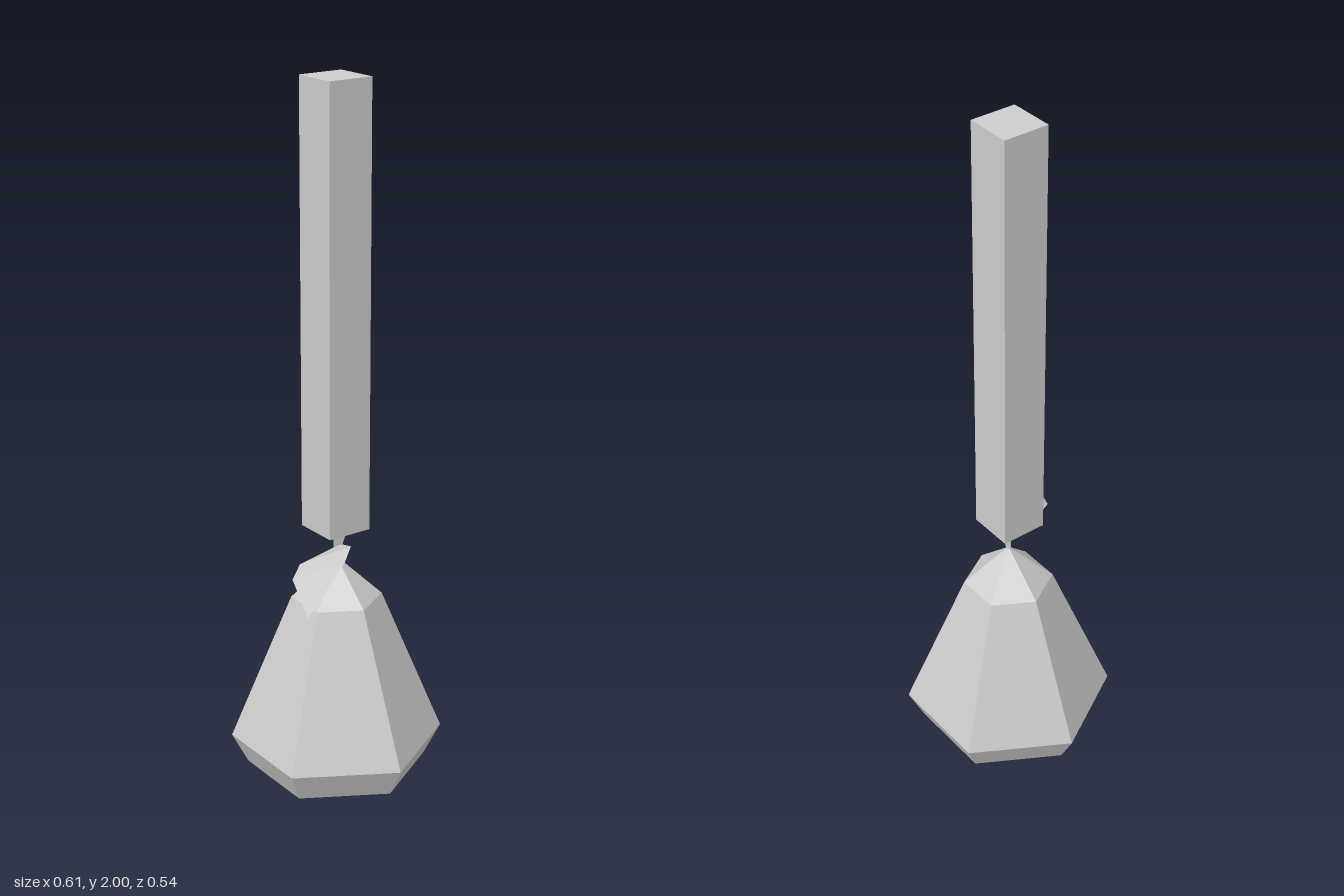
import * as THREE from 'three';

export function createModel() {
  const model = new THREE.Group();
  const grey = new THREE.MeshStandardMaterial({ color: 0xcccccc, flatShading: true, side: THREE.DoubleSide });
  grey.name = 'light grey';

  function add(name, geometry, x = 0, y = 0, z = 0) {
    const mesh = new THREE.Mesh(geometry, grey);
    mesh.name = name;
    mesh.position.set(x, y, z);
    model.add(mesh);
    return mesh;
  }

  // Six-sided weighted body, corners on the x axis
  const profile = [[0, 0], [0.26, 0], [0.307, 0.09], [0.13, 0.525], [0, 0.645]]
    .map(([r, y]) => new THREE.Vector2(r, y));
  add('body', new THREE.LatheGeometry(profile, 6, Math.PI / 2), 0, 0, -0.004);

  // Square post
  add('post', new THREE.BoxGeometry(0.136, 1.265, 0.136), -0.001, 1.3675, -0.001);

  // Stem widening and leaning up into the post
  const stem = new THREE.CylinderGeometry(0.027, 0.007, 0.11, 4);
  const p = stem.attributes.position;
  for (let i = 0; i < p.count; i++) {
    p.setX(i, p.getX(i) + (p.getY(i) + 0.055) * 0.22);
  }
  add('stem', stem, 0, 0.69, -0.002);

  // Folded leaf: base point, two cross pairs, tip
  const leaf = new THREE.BufferGeometry();
  leaf.setAttribute('position', new THREE.Float32BufferAttribute([
    0.013, 0.686, -0.008,
    0.04, 0.675, 0.15, 0.152, 0.745, 0.058,
    0.075, 0.655, 0.2, 0.19, 0.725, 0.105,
    0.246, 0.622, 0.268,
  ], 3));
  leaf.setIndex([0, 1, 2, 1, 3, 4, 1, 4, 2, 3, 5, 4]);
  leaf.computeVertexNormals();
  add('leaf', leaf);

  return model;
}
